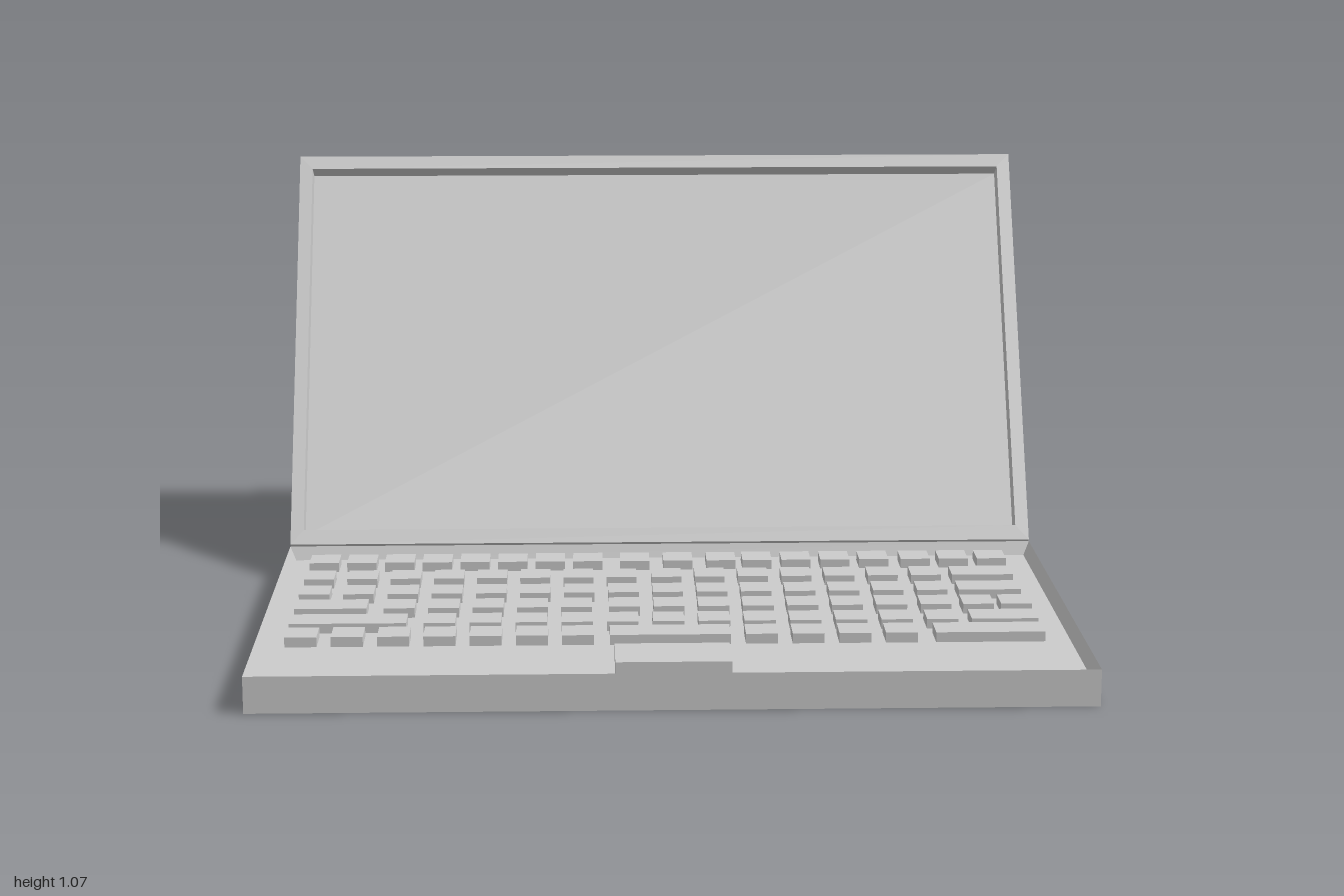
import * as THREE from 'three';

const grey = new THREE.MeshStandardMaterial({ color: 0xcccccc, flatShading: true });

// Closed solid lofted through rectangles [halfWidth, zBack, zFront, y], capped at both ends.
function loftRects(rings) {
  const pos = [], idx = [];
  for (const [w, z0, z1, y] of rings) pos.push(-w, y, z1, w, y, z1, w, y, z0, -w, y, z0);
  for (let i = 0; i < rings.length - 1; i++) {
    for (let k = 0; k < 4; k++) {
      const a = i * 4 + k, b = i * 4 + (k + 1) % 4, c = b + 4, d = a + 4;
      idx.push(a, b, c, a, c, d);
    }
  }
  const t = (rings.length - 1) * 4;
  idx.push(0, 2, 1, 0, 3, 2, t, t + 1, t + 2, t, t + 2, t + 3);
  const indexed = new THREE.BufferGeometry();
  indexed.setAttribute('position', new THREE.Float32BufferAttribute(pos, 3));
  indexed.setIndex(idx);
  const geo = indexed.toNonIndexed();
  geo.computeVertexNormals();
  return geo;
}

function addMesh(parent, name, geo) {
  const mesh = new THREE.Mesh(geo, grey);
  mesh.name = name;
  parent.add(mesh);
  return mesh;
}

// Box given by its left edge, width, back edge, depth and vertical span.
function addBox(parent, name, x, w, z, d, y0, y1) {
  addMesh(parent, name, new THREE.BoxGeometry(w, y1 - y0, d))
    .position.set(x + w / 2, (y0 + y1) / 2, z + d / 2);
}

const FLOOR = 0.055, KEY = 0.078;

// Each row: z of the back edge, then runs of keys [left x, pitch, count, key width].
const keyRows = [
  { z: -0.195, runs: [[-0.937, 0.1, 8, KEY], [-0.112, 0.115, 3, KEY], [0.214, 0.104, 4, KEY], [0.637, 0.102, 3, KEY]] },
  { z: -0.04, runs: [[-0.937, 0.1125, 8, KEY], [-0.032, 0.1133, 7, KEY], [0.755, 0, 1, 0.16]] },
  { z: 0.099, runs: [[-0.937, 0.113, 8, KEY], [-0.032, 0.1133, 7, KEY], [0.755, 0, 1, 0.16]] },
  { z: 0.227, runs: [[-0.937, 0, 1, 0.182], [-0.712, 0.1115, 5, KEY], [-0.145, 0.1125, 8, KEY], [0.75, 0.096, 2, KEY]] },
  { z: 0.355, runs: [[-0.937, 0, 1, 0.289], [-0.605, 0.1135, 12, KEY], [0.755, 0, 1, 0.166]] },
  { z: 0.467, runs: [[-0.937, 0.1125, 7, KEY], [-0.145, 0, 1, 0.295], [0.187, 0.1143, 4, KEY], [0.653, 0, 1, 0.268]] },
];

export function createModel() {
  const model = new THREE.Group();
  model.name = 'laptop';

  // Base: slab with a shallow tray whose walls slope inwards
  addMesh(model, 'base', loftRects([
    [1, -0.245, 0.885, 0],
    [1, -0.245, 0.885, 0.09],
    [0.984, -0.231, 0.866, FLOOR],
  ]));

  // Keyboard
  const keyboard = new THREE.Group();
  keyboard.name = 'keyboard';
  model.add(keyboard);
  for (const { z, runs } of keyRows) {
    for (const [x, pitch, count, width] of runs) {
      for (let i = 0; i < count; i++) {
        addBox(keyboard, 'key', x + i * pitch, width, z, 0.083, FLOOR - 0.01, 0.08);
      }
    }
  }

  addBox(model, 'touchpad', -0.135, 0.275, 0.683, 0.147, FLOOR - 0.01, 0.1);

  // Lid: hinged at the rear edge, with the screen recessed in its front
  const lid = addMesh(model, 'lid', loftRects([
    [1, -1.127, 0, -0.087],
    [1, -1.127, 0, 0],
    [0.965, -1.09, -0.04, 0],
    [0.965, -1.09, -0.04, -0.055],
  ]));
  lid.rotation.x = Math.PI / 3;
  lid.position.set(0, 0.095, -0.245);

  return model;
}
